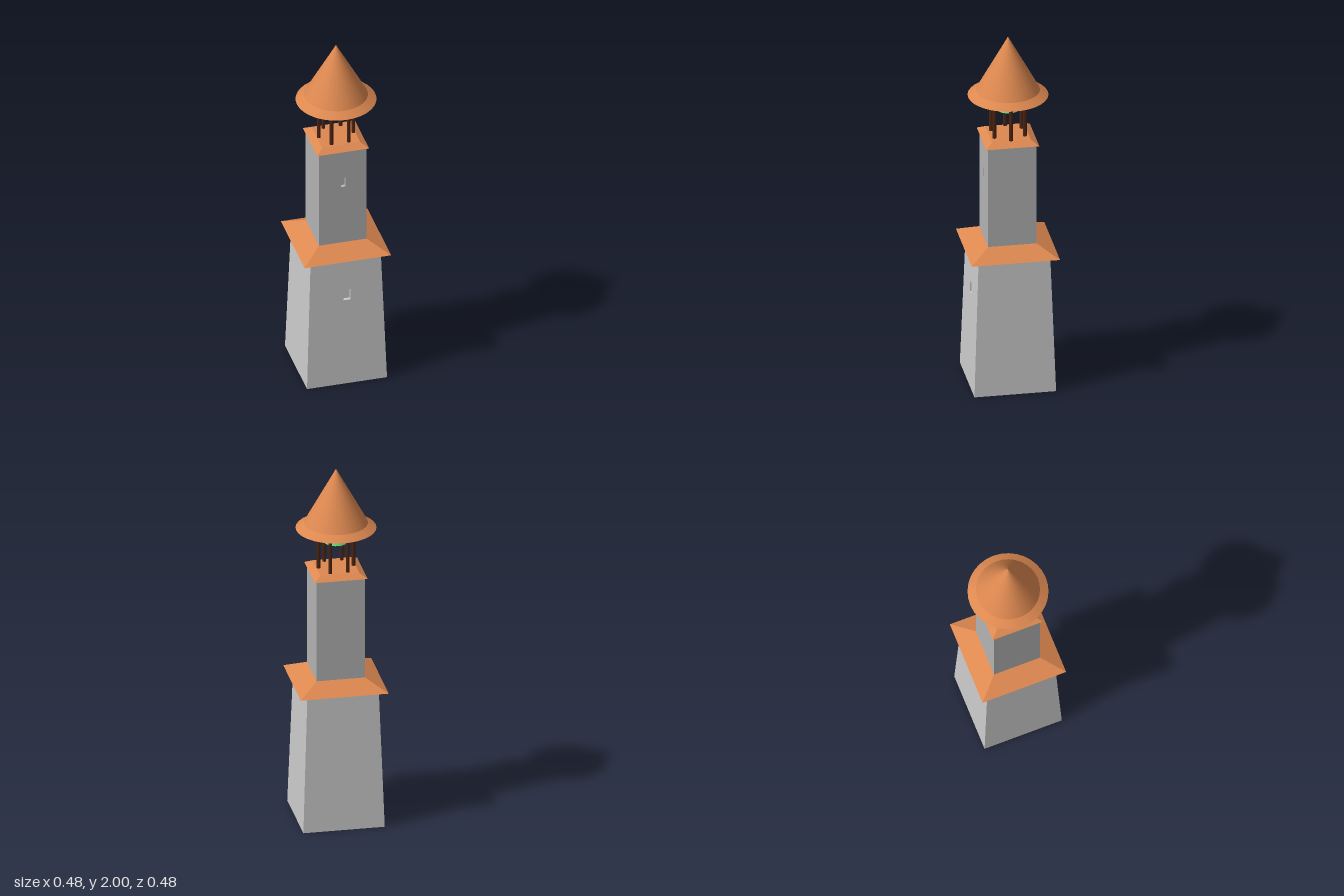
import * as THREE from 'three';

const mat = (color, extra = {}) => new THREE.MeshStandardMaterial({ color, ...extra });
const TILE = 0xdd8850, WOOD = 0x4a2414, GREEN = 0x66d878;

function add(parent, name, geometry, material, x = 0, y = 0, z = 0) {
  const mesh = new THREE.Mesh(geometry, material);
  mesh.name = name;
  mesh.position.set(x, y, z);
  parent.add(mesh);
  return mesh;
}

// Square frustum with half-widths at bottom and top
function hipRoof(parent, name, bottom, top, y0, y1) {
  const g = new THREE.CylinderGeometry(top * Math.SQRT2, bottom * Math.SQRT2, y1 - y0, 4);
  g.rotateY(Math.PI / 4);
  add(parent, name, g, mat(TILE, { flatShading: true }), 0, (y0 + y1) / 2, 0);
}

// Four leaning walls; the front one has a recessed window
function towerStage(parent, name, bottom, top, y0, y1, win, color) {
  const stage = new THREE.Group();
  stage.name = name;
  parent.add(stage);
  const h = y1 - y0, lean = Math.atan2(bottom - top, h), slant = Math.hypot(h, bottom - top);
  const wallMat = mat(color, { flatShading: true });
  for (let i = 0; i < 4; i++) {
    const side = new THREE.Group();
    side.rotation.y = i * Math.PI / 2;
    stage.add(side);
    const wall = new THREE.Group();
    wall.position.set(0, y0, bottom);
    wall.rotation.x = -lean;
    side.add(wall);
    const shape = new THREE.Shape([[-bottom, 0], [bottom, 0], [top, slant], [-top, slant]]
      .map(([x, y]) => new THREE.Vector2(x, y)));
    if (i === 0) {
      const { x, y, w, t, depth } = win, cy = y - y0;
      shape.holes.push(new THREE.Path([[-1, -1], [-1, 1], [1, 1], [1, -1]]
        .map(([a, b]) => new THREE.Vector2(x + a * w / 2, cy + b * t / 2))));
      // Box seen from inside, without its front face
      const niche = new THREE.BoxGeometry(w, t, depth);
      const index = Array.from(niche.index.array);
      index.splice(24, 6);
      niche.setIndex(index);
      niche.clearGroups();
      add(wall, 'windowRecess', niche, mat(color, { side: THREE.BackSide }), x, cy, -depth / 2);
    }
    add(wall, 'wall', new THREE.ShapeGeometry(shape), wallMat);
  }
  // Floor and top caps
  add(stage, 'floor', new THREE.PlaneGeometry(bottom * 2, bottom * 2), wallMat, 0, y0, 0).rotation.x = Math.PI / 2;
  add(stage, 'cap', new THREE.PlaneGeometry(top * 2, top * 2), wallMat, 0, y1, 0).rotation.x = -Math.PI / 2;
}

const lathe = (points, segments) =>
  new THREE.LatheGeometry(points.map(([x, y]) => new THREE.Vector2(x, y)), segments);

export function createModel() {
  const model = new THREE.Group();
  model.name = 'bellTower';

  // Masonry stages
  towerStage(model, 'lowerStage', 0.22, 0.193, 0, 0.785,
    { x: 0.005, y: 0.547, w: 0.04, t: 0.064, depth: 0.02 }, 0xcccccc);
  towerStage(model, 'upperStage', 0.131, 0.131, 0.82, 1.415,
    { x: 0.003, y: 1.213, w: 0.026, t: 0.058, depth: 0.02 }, 0xb4b4b4);

  // Square tiled skirts
  hipRoof(model, 'lowerRoof', 0.238, 0.131, 0.778, 0.835);
  hipRoof(model, 'upperRoof', 0.143, 0.105, 1.41, 1.433);

  // Ring of six belfry posts
  const posts = new THREE.Group();
  posts.name = 'belfryPosts';
  model.add(posts);
  const postGeo = new THREE.CylinderGeometry(0.0105, 0.0105, 0.25, 8);
  for (let i = 0; i < 6; i++) {
    const a = i * Math.PI / 3;
    add(posts, 'post', postGeo, mat(WOOD), 0.095 * Math.cos(a), 1.55, 0.095 * Math.sin(a));
  }

  // Conical roof with flared eave and sloping soffit
  add(model, 'coneRoof', lathe([[0.17, 1.69], [0, 2]], 32), mat(TILE));
  add(model, 'eave', lathe([[0.215, 1.66], [0.17, 1.69]], 32), mat(TILE));
  add(model, 'soffit', lathe([[0.13, 1.672], [0.215, 1.66]], 32), mat(TILE));
  add(model, 'ceiling', new THREE.CircleGeometry(0.13, 32), mat(GREEN), 0, 1.672, 0).rotation.x = Math.PI / 2;

  // Hanging bell
  const bell = new THREE.Group();
  bell.name = 'bell';
  model.add(bell);
  add(bell, 'bellBody', lathe([[0.063, 1.578], [0.055, 1.59], [0.043, 1.62], [0.03, 1.65], [0.02, 1.672]], 24),
    mat(GREEN, { side: THREE.DoubleSide }));
  add(bell, 'clapper', new THREE.SphereGeometry(0.018, 16, 10), mat(GREEN), 0, 1.597, 0);
  add(bell, 'clapperRod', new THREE.CylinderGeometry(0.005, 0.005, 0.07, 8), mat(GREEN), 0, 1.637, 0);

  return model;
}
